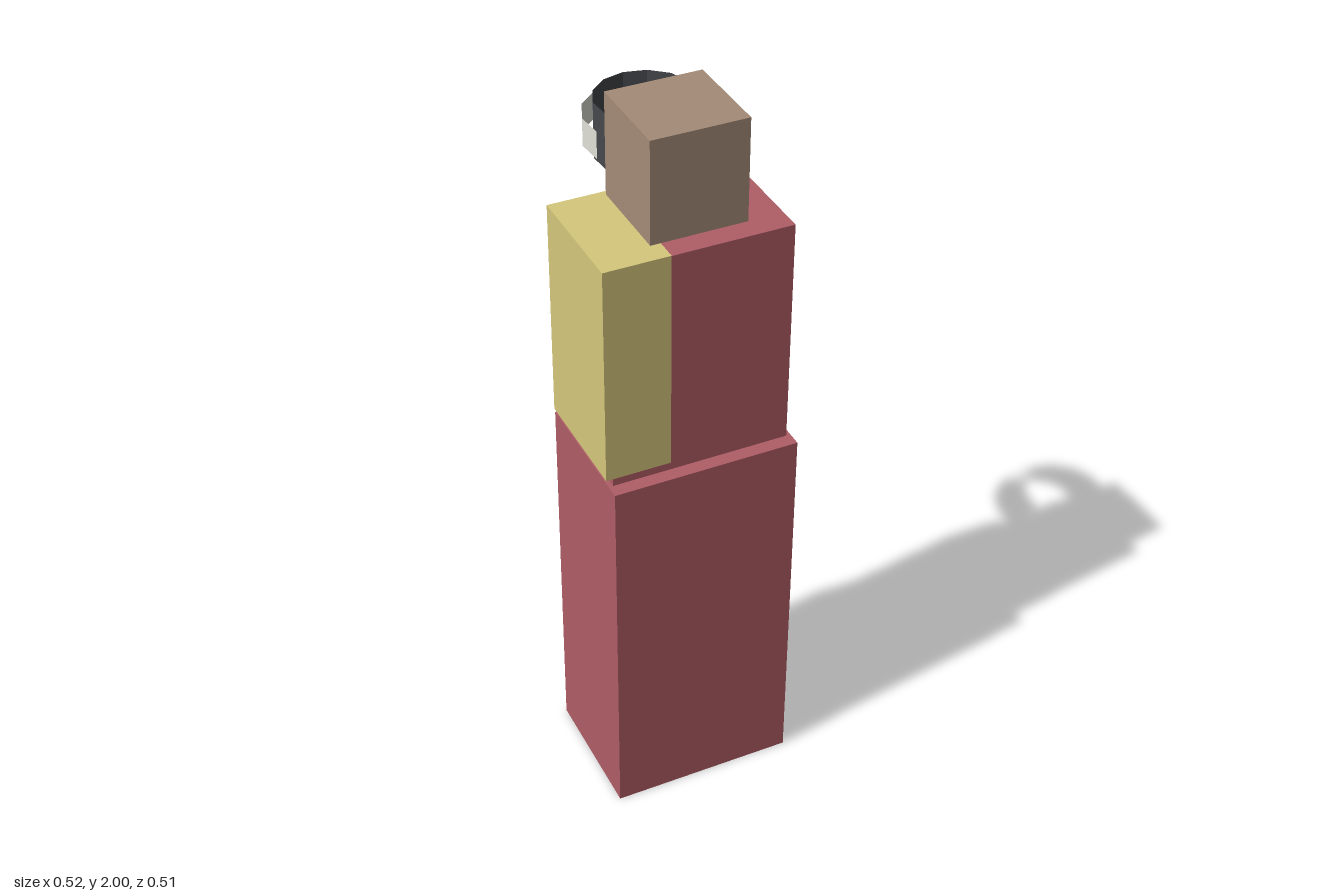
import * as THREE from 'three';

const paint = (color, extra = {}) => {
  const m = new THREE.MeshStandardMaterial({ color, flatShading: true, ...extra });
  return m;
};

// Box given by its minimum and maximum corners
function block(name, min, max, material) {
  const size = max.map((v, i) => v - min[i]);
  const mesh = new THREE.Mesh(new THREE.BoxGeometry(...size), material);
  mesh.position.set(...max.map((v, i) => (v + min[i]) / 2));
  mesh.name = name;
  return mesh;
}

// Open, faceted band curving round the back of the head
function band(name, radius, bottom, top, material) {
  const arc = Math.PI * 1.2;
  const geometry = new THREE.CylinderGeometry(radius, radius, top - bottom, 8, 1, true, Math.PI - arc / 2, arc);
  const mesh = new THREE.Mesh(geometry, material);
  mesh.position.set(0.003, (top + bottom) / 2, -0.102);
  mesh.name = name;
  return mesh;
}

export function createModel() {
  const group = new THREE.Group();
  group.name = 'blockFigure';
  const red = paint(0xb05d66);

  // Body
  group.add(
    block('lowerBody', [-0.247, 0, -0.121], [0.257, 1.073, 0.257], red),
    block('upperBody', [-0.235, 1.073, -0.083], [0.245, 1.7, 0.219], red),
    block('sidePanel', [-0.259, 1.105, -0.095], [-0.084, 1.71, 0.232], paint(0xd6c87c)),
    block('head', [-0.121, 1.725, -0.058], [0.132, 2, 0.194], paint(0xa58b78))
  );

  // Bands behind the head
  const thin = { side: THREE.DoubleSide };
  group.add(
    band('darkBand', 0.127, 1.79, 1.94, paint(0x46484d, thin)),
    band('lightBand', 0.154, 1.828, 1.902, paint(0xe2e2d8, thin))
  );
  return group;
}
